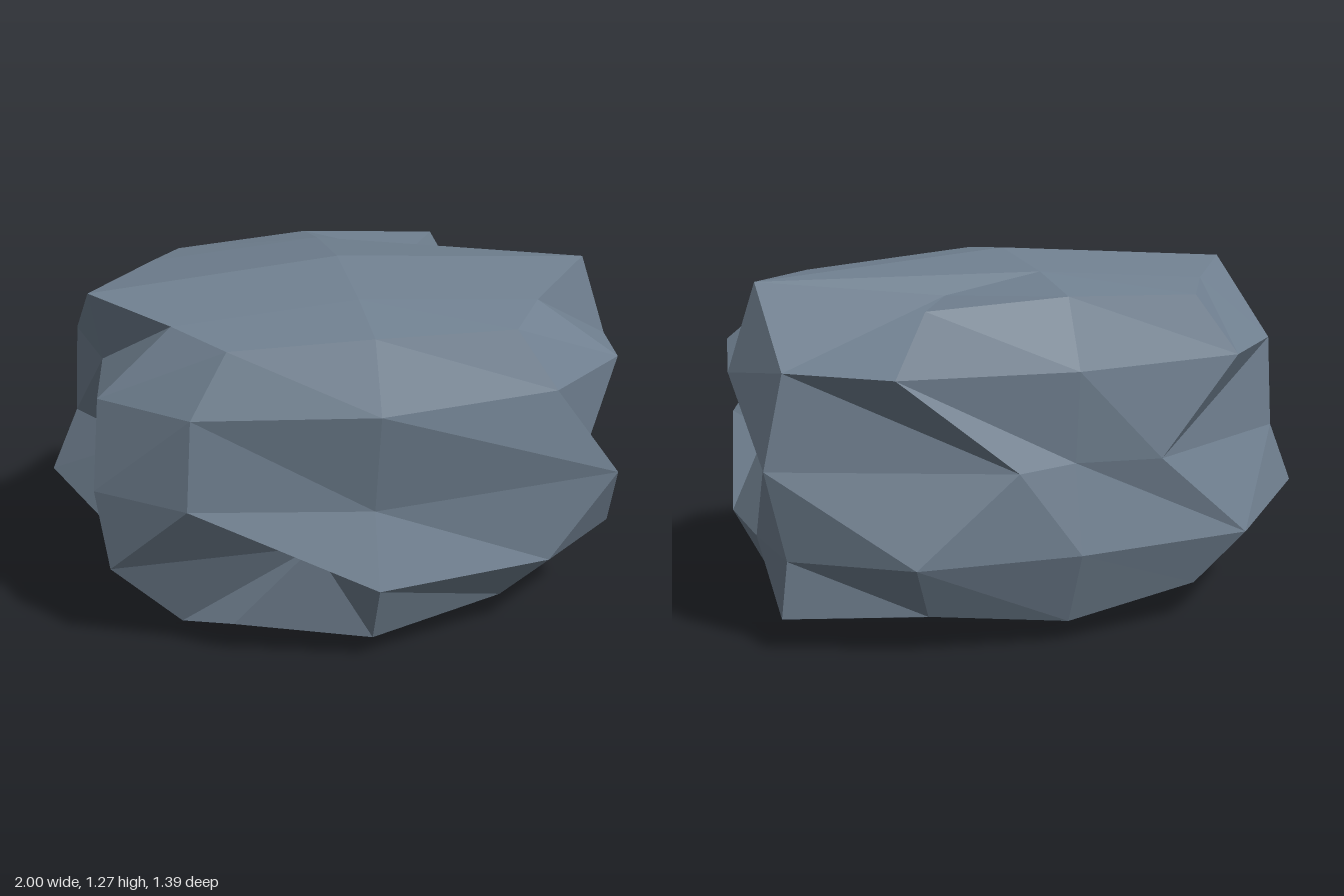
import * as THREE from 'three';

// Regular height and depth of the 5 x 5 grid that forms each end of the rock
const ROW_Y = [1.17, 0.95, 0.63, 0.32, 0.11];
const COL_Z = [0.6, 0.35, 0, -0.33, -0.58];
const TOP_Y = [1.155, 1.18, 1.2, 1.18, 1.155];
const LOW_Y = [0.13, 0.09, 0.08, 0.1, 0.14];

// Outward reach of each grid point: rows run downward, columns front to back
const RIGHT_X = [
  [0.49, 0.62, 0.90, 0.32, 0.48],
  [0.62, 0.92, 1.00, 0.90, 0.60],
  [0.85, 0.76, 0.87, 0.97, 0.21],
  [0.62, 0.92, 0.92, 0.90, 0.55],
  [0.49, 0.62, 0.82, 0.92, 0.48],
];
const LEFT_X = [
  [0.47, 0.62, 0.86, 0.60, 0.48],
  [0.60, 0.87, 0.82, 0.88, 0.62],
  [0.62, 0.90, 0.70, 0.90, 0.31],
  [0.20, 0.86, 0.84, 1.00, 0.67],
  [0.46, 0.62, 0.66, 0.60, 0.50],
];

// Chips and bumps that leave the regular grid: 'row,col': [y, z]
const RIGHT_SHIFT = {
  '0,3': [1.16, -0.27], '1,2': [0.9, 0], '2,1': [0.58, 0.46], '2,4': [0.63, -0.66],
  '3,4': [0.33, -0.62], '4,0': [0.13, 0.47], '4,1': [0.08, 0.26], '4,3': [0.12, -0.32],
};
const LEFT_SHIFT = {
  '0,2': [1.2, 0.03], '2,1': [0.63, 0.375], '2,4': [0.63, -0.64], '3,0': [0.45, 0.58],
  '3,1': [0.33, 0.37], '3,3': [0.41, -0.31], '4,0': [0.13, 0.48], '4,2': [0.12, 0],
};

// Cross-section through the middle [z, y], from the top front edge over the back
const MIDDLE = [
  [0.6, 1.18], [0.36, 1.23], [0.02, 1.27], [-0.32, 1.23],
  [-0.56, 1.18], [-0.66, 0.95], [-0.63, 0.64], [-0.69, 0.34],
  [-0.58, 0.08], [-0.32, 0.015], [0, 0], [0.27, 0],
  [0.6, 0.09], [0.7, 0.32], [0.62, 0.58], [0.7, 0.95],
];

function endGrid(reach, shift, side) {
  return reach.map((row, r) => row.map((x, c) => {
    const corner = (r === 0 || r === 4) && (c === 0 || c === 4);
    let y = r === 0 ? TOP_Y[c] : r === 4 ? LOW_Y[c] : ROW_Y[r];
    let z = COL_Z[c] * (corner ? 0.91 : 1);
    if (shift[`${r},${c}`]) [y, z] = shift[`${r},${c}`];
    return [side * x, y, z];
  }));
}

// The 16 border points of an end grid, in the order of the middle section
function rim(grid) {
  const ring = [];
  for (let i = 0; i < 4; i++) ring.push(grid[0][i]);
  for (let i = 0; i < 4; i++) ring.push(grid[i][4]);
  for (let i = 4; i > 0; i--) ring.push(grid[4][i]);
  for (let i = 4; i > 0; i--) ring.push(grid[i][0]);
  return ring;
}

export function createModel() {
  const stone = new THREE.MeshStandardMaterial({ color: 0x708090, flatShading: true });
  stone.name = 'slate stone';

  const positions = [];
  const quad = (a, b, c, d) => positions.push(...a, ...b, ...c, ...a, ...c, ...d);

  const right = endGrid(RIGHT_X, RIGHT_SHIFT, 1);
  const left = endGrid(LEFT_X, LEFT_SHIFT, -1);

  // Two faceted ends
  for (let r = 0; r < 4; r++) {
    for (let c = 0; c < 4; c++) {
      quad(right[r][c], right[r + 1][c], right[r + 1][c + 1], right[r][c + 1]);
      quad(left[r][c], left[r][c + 1], left[r + 1][c + 1], left[r + 1][c]);
    }
  }

  // Body skin from the right rim over the middle section to the left rim
  const rings = [rim(right), MIDDLE.map(([z, y]) => [0, y, z]), rim(left)];
  for (let k = 0; k < 2; k++) {
    for (let i = 0; i < 16; i++) {
      const j = (i + 1) % 16;
      quad(rings[k][i], rings[k][j], rings[k + 1][j], rings[k + 1][i]);
    }
  }

  const geometry = new THREE.BufferGeometry();
  geometry.setAttribute('position', new THREE.Float32BufferAttribute(positions, 3));
  geometry.computeVertexNormals();

  const boulder = new THREE.Mesh(geometry, stone);
  boulder.name = 'boulder';
  const group = new THREE.Group();
  group.name = 'rock';
  group.add(boulder);
  return group;
}
